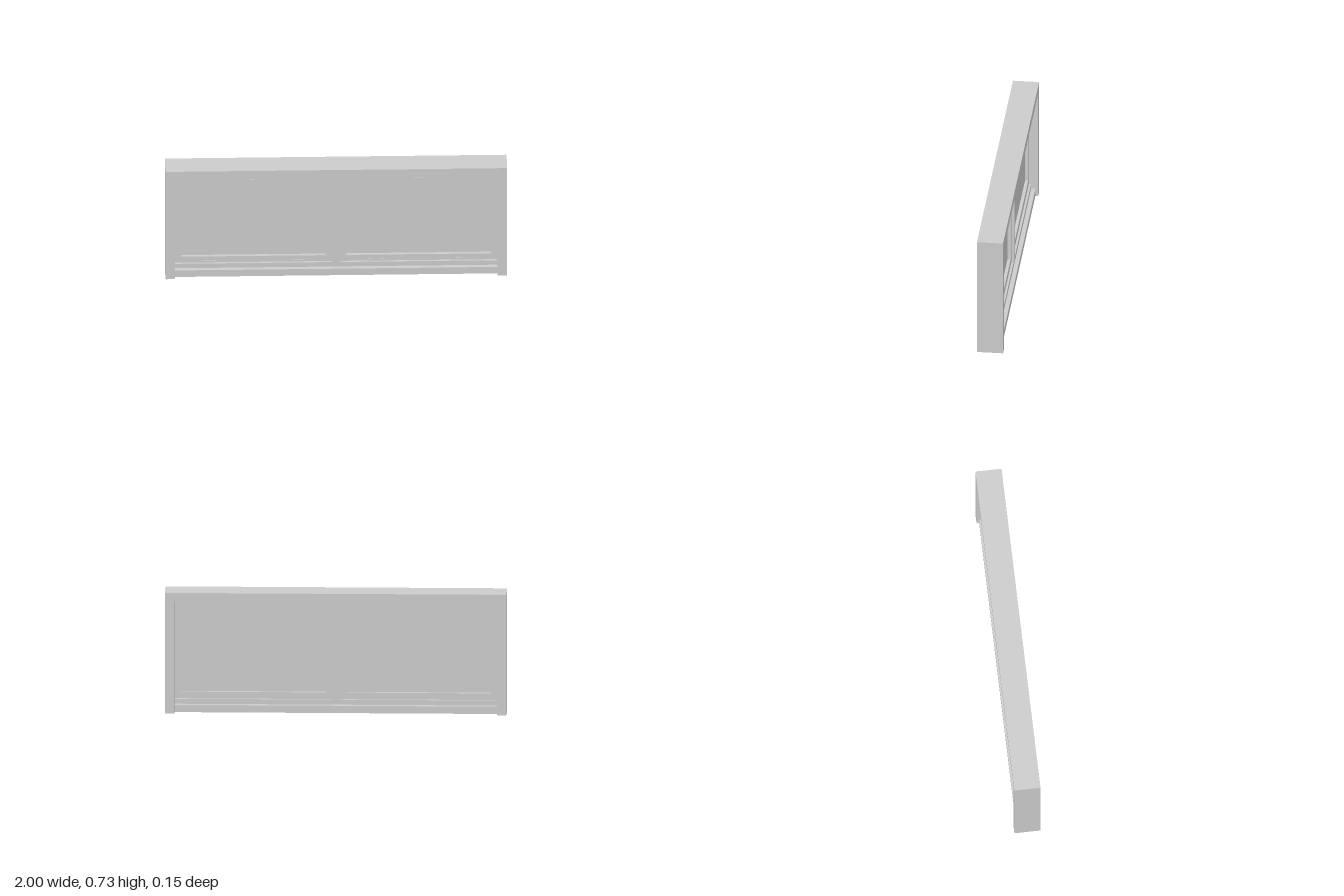
import * as THREE from 'three';

const grey = new THREE.MeshStandardMaterial({ color: 0xcccccc, flatShading: true });

// Box given by its minimum and maximum on each axis
function box(parent, name, [x0, x1], [y0, y1], [z0, z1]) {
  const mesh = new THREE.Mesh(new THREE.BoxGeometry(x1 - x0, y1 - y0, z1 - z0), grey);
  mesh.position.set((x0 + x1) / 2, (y0 + y1) / 2, (z0 + z1) / 2);
  mesh.name = name;
  parent.add(mesh);
  return mesh;
}

function rect(path, x0, x1, y0, y1) {
  path.moveTo(x0, y0);
  path.lineTo(x1, y0);
  path.lineTo(x1, y1);
  path.lineTo(x0, y1);
  path.closePath();
  return path;
}

export function createModel() {
  const model = new THREE.Group();
  model.name = 'doubleWindow';

  const H = 0.73, D = 0.077, inner = 0.945, headY = 0.68, railY = 0.08;
  const mullionX = 0.024, sashZ = 0.023;

  // Outer frame: one piece of two jambs and a head, open at the bottom
  const arch = new THREE.Shape([
    [-1, 0], [-inner, 0], [-inner, headY], [inner, headY],
    [inner, 0], [1, 0], [1, H], [-1, H],
  ].map(([x, y]) => new THREE.Vector2(x, y)));
  const frameGeo = new THREE.ExtrudeGeometry(arch, { depth: 2 * D, bevelEnabled: false });
  frameGeo.translate(0, 0, -D);
  const frame = new THREE.Mesh(frameGeo, grey);
  frame.name = 'outerFrame';
  model.add(frame);

  // Stepped sill and centre post
  box(model, 'sill', [-inner, inner], [0.006, 0.05], [-0.062, 0.062]);
  box(model, 'sillStep', [-inner, inner], [0.05, railY], [-0.036, 0.036]);
  box(model, 'mullion', [-mullionX, mullionX], [railY, headY], [-0.04, 0.04]);

  for (const side of [-1, 1]) {
    const sash = new THREE.Group();
    sash.name = side > 0 ? 'leftSash' : 'rightSash';
    model.add(sash);
    const span = (a, b) => (side > 0 ? [a, b] : [-b, -a]);

    // Sash frame with its glazed opening
    const shape = rect(new THREE.Shape(), ...span(mullionX, inner), railY, headY);
    const opening = span(0.062, 0.907);
    shape.holes.push(rect(new THREE.Path(), ...opening, 0.12, 0.64));
    const geo = new THREE.ExtrudeGeometry(shape, { depth: 2 * sashZ, bevelEnabled: false });
    geo.translate(0, 0, -sashZ);
    const sashFrame = new THREE.Mesh(geo, grey);
    sashFrame.name = 'sashFrame';
    sash.add(sashFrame);

    box(sash, 'glassPane', opening, [0.12, 0.64], [-0.004, 0.004]);

    // Two finger lifts on the bottom rail, front only
    for (const x of [0.233, 0.745]) {
      box(sash, 'fingerLiftPlate', span(x - 0.046, x + 0.046), [0.084, 0.097], [sashZ, sashZ + 0.003]);
      box(sash, 'fingerLiftLip', span(x - 0.046, x + 0.046), [0.088, 0.093], [sashZ, sashZ + 0.006]);
    }
    // Small catch under the top rail
    box(sash, 'topCatch', span(0.46, 0.51), [0.634, 0.64], [0, sashZ + 0.003]);
  }
  return model;
}
